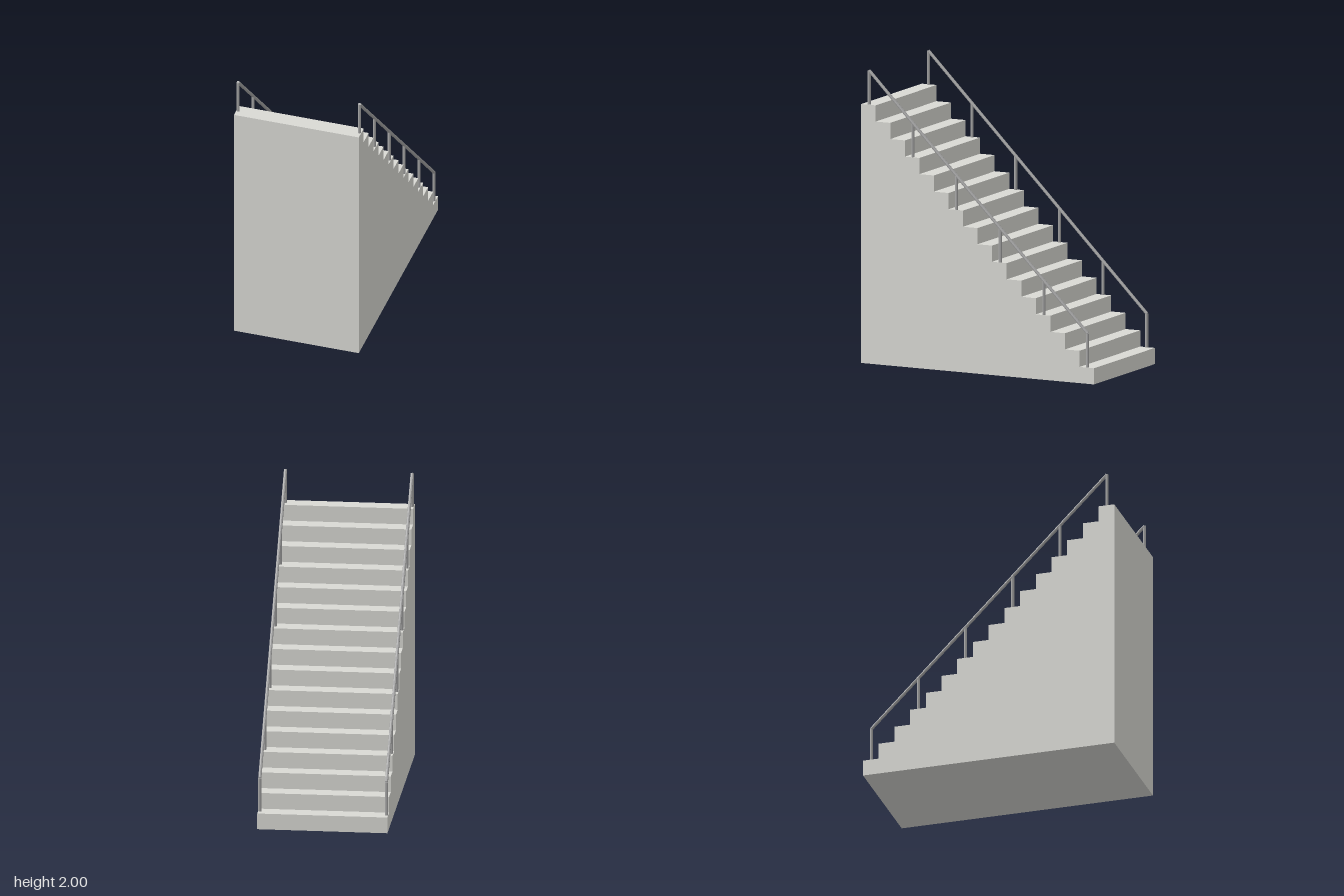
import * as THREE from 'three';

const STEPS = 16, STEP = 0.11, HALF_WIDTH = 0.438, HALF_DEPTH = 0.88;
const RAIL_X = 0.426, RAIL_RADIUS = 0.011, RAIL_HEIGHT = 0.231;

export function createModel() {
  const model = new THREE.Group();
  model.name = 'staircase';
  const concrete = new THREE.MeshStandardMaterial({ name: 'concrete', color: 0xd9d9d4 });
  const metal = new THREE.MeshStandardMaterial({ name: 'railMetal', color: 0xa6a6a6 });

  // Solid flight: stepped side profile (z, y), extruded across the width
  const profile = new THREE.Shape();
  profile.moveTo(-HALF_DEPTH, 0);
  for (let i = 0; i < STEPS; i++) {
    profile.lineTo(-HALF_DEPTH + i * STEP, (i + 1) * STEP);
    profile.lineTo(-HALF_DEPTH + (i + 1) * STEP, (i + 1) * STEP);
  }
  profile.lineTo(HALF_DEPTH, 0);
  const flight = new THREE.ExtrudeGeometry(profile, { depth: HALF_WIDTH * 2, bevelEnabled: false });
  flight.translate(0, 0, -HALF_WIDTH).rotateY(-Math.PI / 2);
  const steps = new THREE.Mesh(flight, concrete);
  steps.name = 'steps';
  model.add(steps);

  // Eight-sided bar between two points, with faceted sides
  const bar = (name, a, b) => {
    const dir = b.clone().sub(a);
    const geometry = new THREE.CylinderGeometry(RAIL_RADIUS, RAIL_RADIUS, dir.length(), 8).toNonIndexed();
    geometry.computeVertexNormals();
    const mesh = new THREE.Mesh(geometry, metal);
    mesh.name = name;
    mesh.position.copy(a).add(b).multiplyScalar(0.5);
    mesh.quaternion.setFromUnitVectors(new THREE.Vector3(0, 1, 0), dir.normalize());
    return mesh;
  };

  // One railing per side: a post on every third step and a sloping handrail
  for (const side of [-1, 1]) {
    const railing = new THREE.Group();
    railing.name = side > 0 ? 'leftRailing' : 'rightRailing';
    const tops = [];
    for (let i = 0; i < STEPS; i += 3) {
      const z = -HALF_DEPTH + (i + 0.5) * STEP;
      const foot = new THREE.Vector3(side * RAIL_X, (i + 1) * STEP, z);
      const top = foot.clone().setY(foot.y + RAIL_HEIGHT);
      railing.add(bar('post', foot, top));
      tops.push(top);
    }
    railing.add(bar('handrail', tops[0], tops[tops.length - 1]));
    model.add(railing);
  }
  return model;
}
